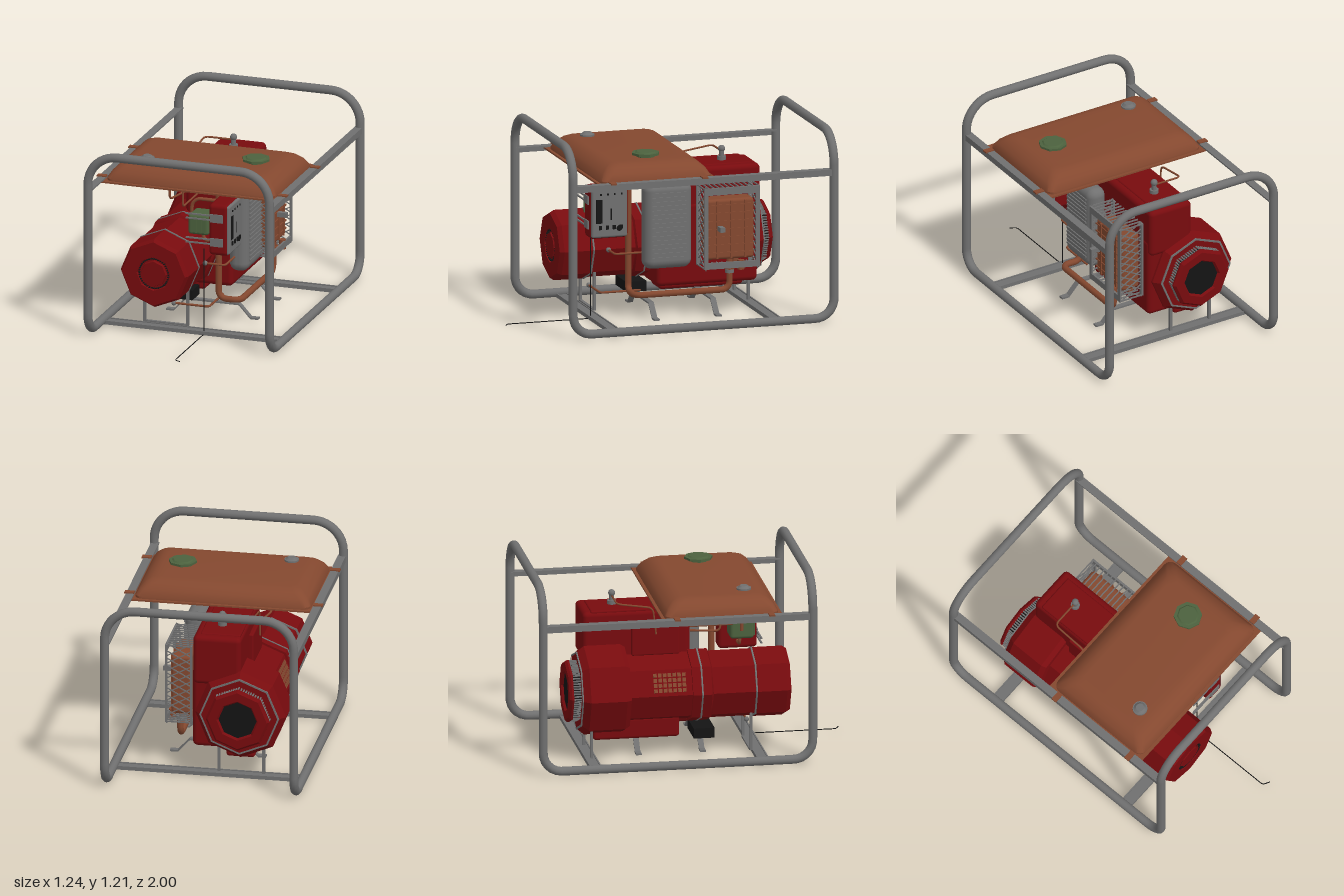
import * as THREE from 'three';
import { mergeVertices, toCreasedNormals } from 'three/addons/utils/BufferGeometryUtils.js';
import { RoundedBoxGeometry } from 'three/addons/geometries/RoundedBoxGeometry.js';
import { ConvexGeometry } from 'three/addons/geometries/ConvexGeometry.js';

const material = (name, color) => {
  const m = new THREE.MeshStandardMaterial({ color });
  m.name = name;
  return m;
};
const V = (x, y, z) => new THREE.Vector3(x, y, z);

export function createModel() {
  const root = new THREE.Group();
  root.name = 'generator';
  const red = material('red', 0x780b0e), brown = material('copper brown', 0x84482f);
  const grey = material('grey', 0x707070), green = material('green', 0x4c623e);
  const black = material('black', 0x141414), dark = material('dark red', 0x4a080a);

  const add = (name, geo, mat, x = 0, y = 0, z = 0) => {
    const m = new THREE.Mesh(geo, mat);
    m.name = name;
    m.position.set(x, y, z);
    root.add(m);
    return m;
  };
  // Box from its limits, optionally with rounded edges
  const box = (name, mat, x0, x1, y0, y1, z0, z1, r = 0) => {
    const s = [x1 - x0, y1 - y0, z1 - z0];
    const geo = r ? new RoundedBoxGeometry(...s, 3, r) : new THREE.BoxGeometry(...s);
    return add(name, geo, mat, (x0 + x1) / 2, (y0 + y1) / 2, (z0 + z1) / 2);
  };
  // Tube along straight runs with rounded corners; each point is [x, y, z, bend]
  const pipe = (name, mat, pts, r, closed = false, steps = 60, sides = 10) => {
    const p = pts.map(a => V(a[0], a[1], a[2])), n = p.length, path = new THREE.CurvePath();
    const toward = (a, b, d) => a.clone().add(b.clone().sub(a).setLength(d));
    let last = closed ? null : p[0];
    let first = last;
    for (let i = closed ? 0 : 1; i < (closed ? n : n - 1); i++) {
      const c = p[i], d = pts[i][3] || 0.01;
      const a = toward(c, p[(i + n - 1) % n], d), b = toward(c, p[(i + 1) % n], d);
      if (last) path.add(new THREE.LineCurve3(last, a));
      else first = a;
      path.add(new THREE.CubicBezierCurve3(a, a.clone().lerp(c, 0.55), b.clone().lerp(c, 0.55), b));
      last = b;
    }
    path.add(new THREE.LineCurve3(last, closed ? first : p[n - 1]));
    return add(name, new THREE.TubeGeometry(path, steps, r, sides, closed), mat);
  };
  // Turned part along z, from [radius, z] points; eight flat sides by default
  const turned = (name, mat, pts, x = -0.2, y = 0.42, sides = 8) => {
    const g = new THREE.LatheGeometry(pts.map(q => new THREE.Vector2(q[0], q[1])), sides);
    g.rotateX(Math.PI / 2);
    return add(name, toCreasedNormals(g, 0.5), mat, x, y, 0);
  };
  const disc = (name, mat, r0, r1, h, x, y, z, sides = 16) =>
    add(name, toCreasedNormals(new THREE.CylinderGeometry(r1, r0, h, sides), 0.6), mat, x, y, z);

  // Carrying frame: two hoops joined by floor runners in one bent tube
  const fx = 0.592, fy = 0.028, ft = 1.182, zf = 0.717, zr = -0.967;
  pipe('frame', grey, [
    [-fx, ft, zf, 0.19], [fx, ft, zf, 0.19], [fx, fy, zf, 0.12], [fx, fy, zr, 0.12],
    [fx, ft, zr, 0.19], [-fx, ft, zr, 0.19], [-fx, fy, zr, 0.12], [-fx, fy, zf, 0.12],
  ], 0.028, true, 320, 12);
  for (const s of [-1, 1]) {
    box('tankRailTop', grey, s * 0.585 - 0.025, s * 0.585 + 0.025, 0.955, 0.965, zr, zf);
    box('tankRailSide', grey, s * 0.605 - 0.005, s * 0.605 + 0.005, 0.925, 0.965, zr, zf);
    for (const z of [-0.13, 0.46]) box('tankTab', brown, s * 0.59 - 0.03, s * 0.59 + 0.03, 0.962, 0.972, z - 0.018, z + 0.018);
  }
  for (const z of [0.42, -0.625]) {
    box('crossMember', grey, -fx, fx, 0.008, 0.02, z - 0.035, z + 0.035);
    for (const s of [-1, 1]) box('crossMemberLip', grey, -fx, fx, 0.002, 0.026, z + s * 0.032 - 0.004, z + s * 0.032 + 0.004);
  }

  // Splayed mounting feet cut from flat strip
  const foot = [[-0.3, 0.025], [-0.25, 0.025], [-0.175, 0.107], [0.175, 0.107], [0.25, 0.025], [0.3, 0.025]];
  const outline = [...foot, ...foot.map(([x, y]) => [x, y - 0.011]).reverse()];
  const footGeo = new THREE.ExtrudeGeometry(new THREE.Shape(outline.map(q => new THREE.Vector2(...q))), { depth: 0.035, bevelEnabled: false });
  for (const z of [0.065, -0.335]) add('mountFoot', footGeo, grey, 0, 0, z);
  for (const x of [-0.34, -0.06]) {
    box('frontStand', grey, x - 0.009, x + 0.009, 0.025, 0.27, 0.367, 0.383);
    box('rearStand', grey, x - 0.009, x + 0.009, 0.025, 0.2, -0.628, -0.612);
  }
  box('frontStandBase', grey, -0.34, -0.06, 0.022, 0.034, 0.365, 0.385);

  // Fuel tank: rounded rectangles that shrink toward the top
  const tank = [];
  for (const [inset, y] of [[0, 0.945], [0, 0.968], [0.025, 1.008], [0.06, 1.04], [0.09, 1.054], [0.12, 1.06]])
    for (const [sx, sz] of [[1, 1], [-1, 1], [-1, -1], [1, -1]])
      for (let i = 0; i <= 4; i++) {
        const a = i * Math.PI / 8, r = 0.05;
        tank.push(V(sx * (0.55 - inset - r + r * Math.cos(a)), y, sz * (0.355 - inset - r + r * Math.sin(a))));
      }
  let tankGeo = new ConvexGeometry(tank);
  tankGeo.deleteAttribute('normal');
  tankGeo = toCreasedNormals(mergeVertices(tankGeo, 1e-4), 0.7);
  add('fuelTank', tankGeo, brown, 0, 0, 0.16);
  box('tankFlange', brown, -0.583, 0.583, 0.945, 0.955, -0.215, 0.535);
  disc('fillerNeck', green, 0.06, 0.06, 0.02, 0.31, 1.065, 0.16, 8);
  disc('fillerCap', green, 0.088, 0.088, 0.014, 0.31, 1.08, 0.16, 8);
  disc('fillerCapTop', green, 0.07, 0.06, 0.008, 0.31, 1.09, 0.16, 8);
  disc('gaugeRim', grey, 0.046, 0.046, 0.01, -0.34, 1.068, 0.33);
  disc('gaugeTop', grey, 0.04, 0.025, 0.014, -0.34, 1.08, 0.33);

  // Alternator barrel and engine shroud
  turned('alternator', red, [[0, -0.4], [0.215, -0.4], [0.215, 0.0], [0.23, 0.0], [0.23, 0.12], [0.215, 0.13],
    [0.215, 0.4], [0.222, 0.41], [0.222, 0.59], [0.205, 0.617], [0.11, 0.617], [0.105, 0.6], [0.085, 0.6], [0.08, 0.617], [0, 0.617]]);
  turned('alternatorBand', grey, [[0.214, 0.395], [0.226, 0.395], [0.226, 0.405], [0.214, 0.405]]);
  turned('couplingBand', grey, [[0.229, 0.055], [0.234, 0.055], [0.234, 0.065], [0.229, 0.065]]);
  for (let i = 0; i < 40; i++) {
    const a = i * Math.PI / 20;
    box('coolingSlot', black, -0.005, 0.005, -0.003, 0.003, 0.6, 0.614)
      .position.set(-0.2 + 0.095 * Math.cos(a), 0.42 + 0.095 * Math.sin(a), 0.607);
  }
  turned('fanHousing', red, [[0, -0.69], [0.245, -0.69], [0.285, -0.645], [0.285, -0.42], [0.265, -0.39], [0, -0.39]]);
  turned('fanHousingBand', grey, [[0.238, -0.694], [0.25, -0.694], [0.25, -0.686], [0.238, -0.686]]);
  turned('fanCore', black, [[0, -0.75], [0.175, -0.75], [0.175, -0.685], [0, -0.685]]);
  turned('fanCap', red, [[0, -0.738], [0.11, -0.738], [0.13, -0.765], [0.185, -0.765], [0.2, -0.75], [0.2, -0.738], [0, -0.738]]);
  for (let i = 0; i < 72; i++) {
    const a = i * Math.PI / 36;
    const k = Math.cos(Math.PI / 8) / Math.cos((a % (Math.PI / 4)) - Math.PI / 8) * 0.193;
    box('fanGrilleBar', grey, -0.004, 0.004, -0.004, 0.004, -0.74, -0.688)
      .position.set(-0.2 + k * Math.cos(a), 0.42 + k * Math.sin(a), -0.714);
  }
  // Vent on the left-facing flat of the barrel
  const vent = new THREE.Group();
  vent.name = 'sideVent';
  const ventAngle = Math.PI * 7 / 8, ventR = 0.215 * Math.cos(Math.PI / 8) + 0.003;
  vent.position.set(-0.2 + ventR * Math.cos(ventAngle), 0.42 + ventR * Math.sin(ventAngle), -0.14);
  vent.rotation.z = ventAngle;
  for (let i = 0; i < 7; i++) for (let j = 0; j < 4; j++) {
    const m = new THREE.Mesh(new THREE.BoxGeometry(0.006, 0.024, 0.022), brown);
    m.position.set(0, (j - 1.5) * 0.032, (i - 3) * 0.03);
    vent.add(m);
  }
  root.add(vent);

  // Engine block and cylinder head
  box('engineBlock', red, -0.2, 0.105, 0.18, 0.7, -0.63, 0.02, 0.03);
  box('cylinderHead', red, -0.2, 0.1, 0.6, 0.915, -0.65, 0.02, 0.03);
  box('headCover', red, -0.19, 0.06, 0.9, 0.922, -0.6, -0.03, 0.01);
  box('headShelf', red, -0.225, -0.19, 0.63, 0.83, -0.35, -0.05, 0.01);
  box('oilPan', red, -0.28, -0.1, 0.115, 0.25, -0.6, -0.06, 0.02);
  box('headSeam', dark, 0.1, 0.104, 0.56, 0.57, -0.6, -0.02);
  box('oilFilter', black, -0.33, -0.11, 0.112, 0.175, 0.02, 0.15);
  disc('headPlug', grey, 0.028, 0.028, 0.03, -0.05, 0.93, -0.445);
  disc('headPlugStem', grey, 0.016, 0.016, 0.06, -0.05, 0.96, -0.445);
  add('headPlugKnob', new THREE.SphereGeometry(0.022, 12, 8), grey, -0.05, 0.992, -0.445);
  pipe('ignitionLead', brown, [[-0.05, 0.975, -0.445], [-0.24, 0.975, -0.445, 0.03], [-0.24, 0.94, -0.22, 0.03], [-0.24, 0.77, -0.2]], 0.006, false, 40, 6);

  // Ribbed cylinder cover
  box('coolerCover', grey, 0.115, 0.243, 0.32, 0.865, -0.17, 0.14, 0.055);
  for (let i = 0; i < 16; i++) box('coolerRib', grey, 0.2, 0.25, 0.385 + i * 0.027, 0.398 + i * 0.027, -0.125, 0.095);

  // Muffler in its open guard
  box('muffler', brown, 0.125, 0.252, 0.36, 0.74, -0.56, -0.255, 0.02);
  for (const z of [-0.5, -0.41, -0.32]) box('mufflerRibUpright', brown, 0.245, 0.262, 0.37, 0.73, z - 0.006, z + 0.006);
  for (let i = 0; i < 7; i++) box('mufflerRib', brown, 0.245, 0.258, 0.4 + i * 0.05, 0.408 + i * 0.05, -0.555, -0.26);
  for (const [y0, y1] of [[0.31, 0.35], [0.775, 0.82]]) {
    box('guardEdge', grey, 0.272, 0.285, y0, y1, -0.587, -0.228);
    const y = y0 < 0.5 ? 0.31 : 0.812;
    for (let i = 0; i < 12; i++) box('guardSlat', grey, 0.115, 0.28, y, y + 0.008, -0.587 + i * 0.032, -0.58 + i * 0.032);
  }
  for (const z of [-0.587, -0.253]) {
    box('guardUpright', grey, 0.272, 0.285, 0.31, 0.82, z, z + 0.025);
    box('guardBackPost', grey, 0.115, 0.127, 0.31, 0.82, z, z + 0.025);
    // Crossed wires on the guard ends
    for (let i = 0; i < 10; i++) for (const s of [-1, 1]) {
      const w = box('guardWire', grey, 0.105, 0.285, -0.003, 0.003, -0.003, 0.003);
      w.position.set(0.2, 0.345 + i * 0.049, z + 0.0125);
      w.rotation.z = s * 0.5;
    }
  }
  box('guardBracket', grey, 0.28, 0.34, 0.55, 0.58, -0.345, -0.315);

  // Exhaust pipe from the muffler up to the tank
  pipe('exhaustPipe', brown, [[0.22, 0.37, -0.41], [0.22, 0.165, -0.41, 0.05], [0.22, 0.165, 0.2, 0.05], [0.08, 0.165, 0.2, 0.05], [0.08, 0.945, 0.2]], 0.02, false, 120);
  disc('exhaustCollar', grey, 0.028, 0.028, 0.02, 0.22, 0.28, -0.41);
  disc('exhaustFlange', brown, 0.03, 0.035, 0.035, 0.22, 0.31, -0.41);
  for (const x of [0.14, 0.26]) disc('mufflerDrain', brown, 0.022, 0.022, 0.06, x, 0.325, -0.47);

  // Control box with its panel
  box('controlBox', red, 0.115, 0.242, 0.54, 0.87, 0.25, 0.495, 0.025);
  box('controlPanel', grey, 0.22, 0.25, 0.548, 0.862, 0.257, 0.488, 0.014);
  box('panelSlot', black, 0.25, 0.253, 0.64, 0.79, 0.42, 0.46);
  box('panelGauge', black, 0.25, 0.253, 0.66, 0.73, 0.36, 0.368);
  for (let i = 0; i < 4; i++) {
    box('panelSwitch', black, 0.25, 0.256, 0.6, 0.625, 0.29 + i * 0.045, 0.308 + i * 0.045);
    box('panelLamp', black, 0.25, 0.254, 0.815, 0.826, 0.29 + i * 0.045, 0.3 + i * 0.045);
  }
  const dial = disc('panelDial', black, 0.018, 0.018, 0.006, 0.251, 0.605, 0.31);
  dial.rotation.z = Math.PI / 2;
  for (const y of [0.6, 0.755]) {
    box('boxBracket', grey, 0.13, 0.21, y, y + 0.053, 0.494, 0.502);
    for (const d of [0.008, 0.037]) box('boxBracketArm', grey, -0.03, 0.14, y + d, y + d + 0.009, 0.49, 0.5);
  }

  // Fuel filter and small lines
  box('fuelFilter', green, -0.035, 0.1, 0.645, 0.775, 0.3, 0.45, 0.02);
  for (let i = 0; i < 4; i++) box('fuelFilterRib', green, -0.015 + i * 0.03, -0.005 + i * 0.03, 0.66, 0.76, 0.445, 0.456);
  pipe('filterLine', brown, [[-0.035, 0.7, 0.37], [-0.035, 0.855, 0.37, 0.06], [0.13, 0.855, 0.37]], 0.011);
  pipe('filterReturn', brown, [[0.04, 0.66, 0.37], [0.04, 0.59, 0.37, 0.03], [0.13, 0.59, 0.37]], 0.011);
  pipe('fuelDrop', brown, [[-0.24, 0.95, 0.2], [-0.24, 0.77, 0.2, 0.03], [-0.2, 0.77, 0.02]], 0.007);
  pipe('breatherDrop', brown, [[-0.115, 0.95, 0.31], [-0.115, 0.77, 0.31, 0.02], [-0.115, 0.77, 0.02]], 0.006);
  disc('fuelCock', brown, 0.016, 0.016, 0.05, -0.27, 0.92, 0.28);
  box('fuelCockBody', brown, -0.29, -0.25, 0.895, 0.92, 0.2, 0.34, 0.01);
  for (const [x, y, z, end] of [[0.03, 0.42, 0.31, 0.16], [-0.15, 0.165, 0.38, 0.08]]) {
    add('lineJoint', new THREE.SphereGeometry(0.016, 10, 8), grey, x, y, z);
    pipe('oilLine', brown, [[x, y, z], [end, y, z, 0.02], [end, y, 0.12]], 0.007);
  }

  // Earth wire trailing along the floor
  pipe('earthWire', black, [[0.068, 0.56, 0.44], [0.068, 0.005, 0.44], [0.068, 0.005, 0.975], [0.11, 0.005, 0.998]], 0.003, false, 80, 6);
  return root;
}
